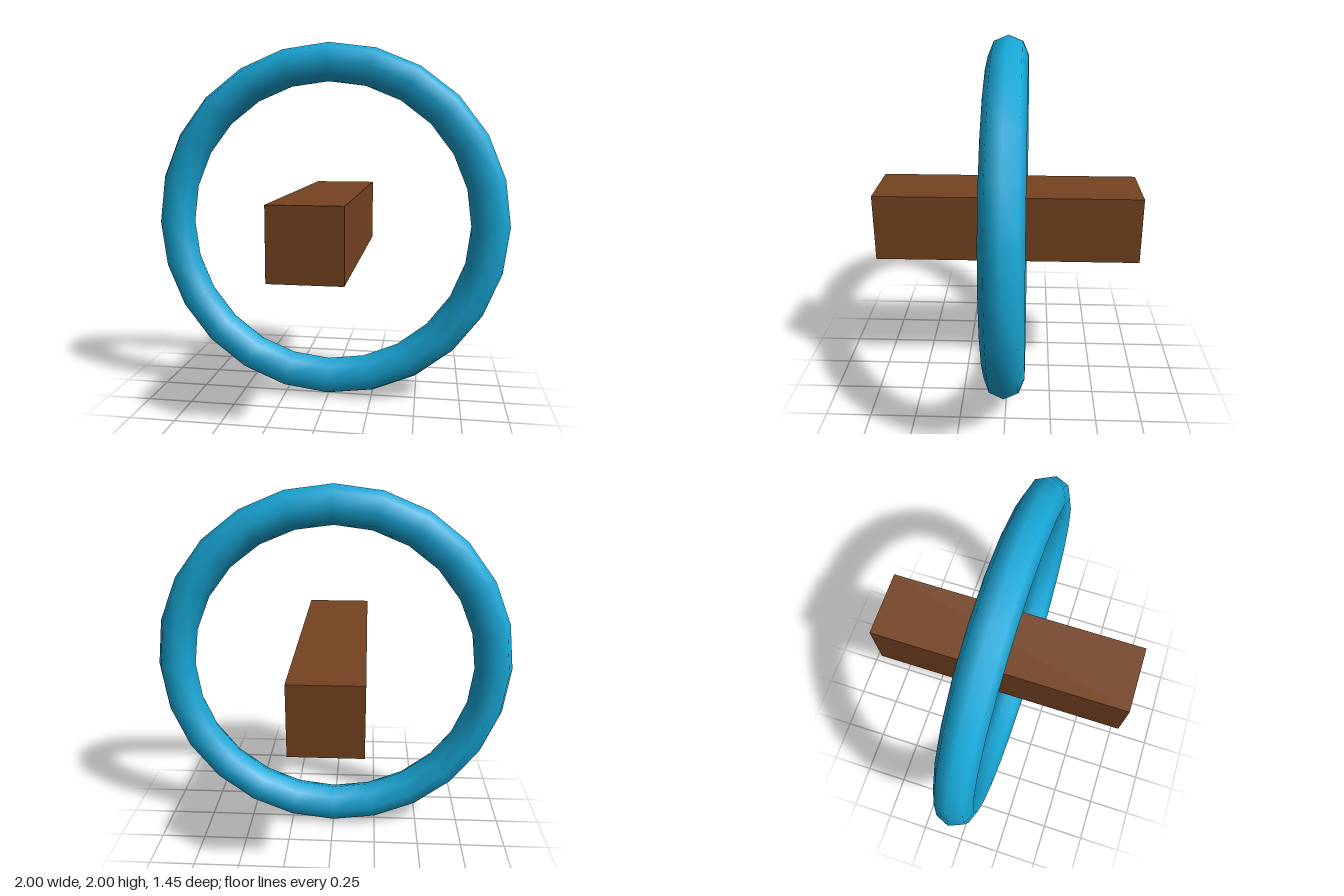
import * as THREE from 'three';

export function createModel() {
  const model = new THREE.Group();

  // Round ring standing upright, facing front
  const ring = new THREE.Mesh(
    new THREE.TorusGeometry(0.895, 0.105, 8, 24),
    new THREE.MeshStandardMaterial({ color: 0x18a8d8 })
  );
  ring.name = 'ring';

  // Square beam floating through the middle of the ring
  const beam = new THREE.Mesh(
    new THREE.BoxGeometry(0.37, 0.37, 1.45),
    new THREE.MeshStandardMaterial({ color: 0x754320 })
  );
  beam.name = 'beam';

  for (const part of [ring, beam]) {
    part.position.y = 1;
    model.add(part);
  }
  return model;
}
